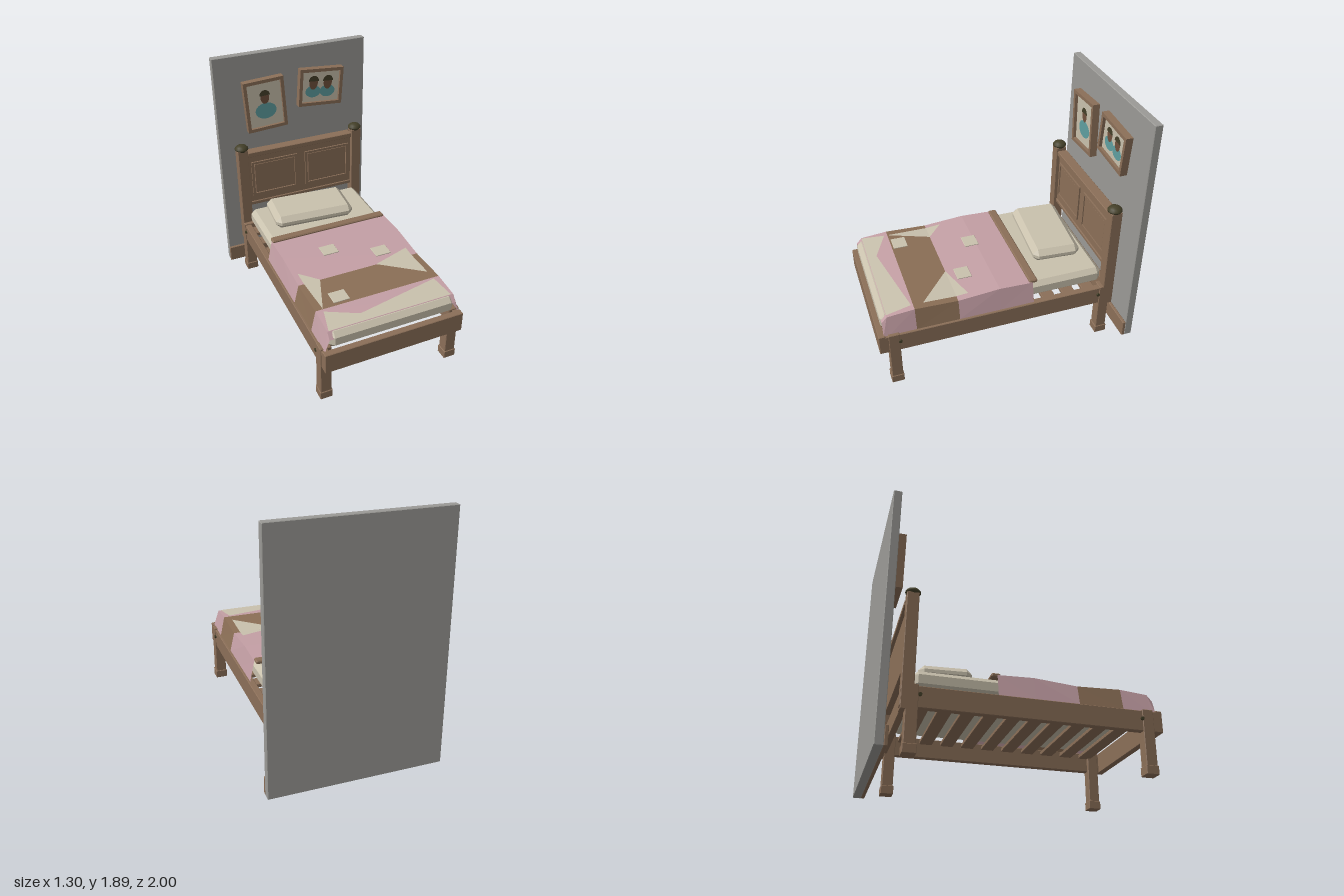
import * as THREE from 'three';
import { ConvexGeometry } from 'three/addons/geometries/ConvexGeometry.js';

const mat = (name, color, extra = {}) => {
  const m = new THREE.MeshStandardMaterial({ color, ...extra });
  m.name = name;
  return m;
};

export function createModel() {
  const wood = mat('wood', 0x8b6f58);
  const wall = mat('wall grey', 0x9b9a96);
  const cream = mat('cream linen', 0xc9c1ad, { side: THREE.DoubleSide });
  const pink = mat('pink cloth', 0xc49fa5, { side: THREE.DoubleSide });
  const brown = mat('brown cloth', 0x8b6f56, { side: THREE.DoubleSide });
  const teal = mat('teal', 0x5f9ea0);
  const skin = mat('skin brown', 0x70503c);
  const dark = mat('dark olive', 0x444029);

  const model = new THREE.Group();
  const add = (name, geo, material, x = 0, y = 0, z = 0, parent = model) => {
    const m = new THREE.Mesh(geo, material);
    m.name = name;
    m.position.set(x, y, z);
    parent.add(m);
    return m;
  };

  // Box with chamfered edges
  const chamfer = (w, h, d, b) => {
    const pts = [];
    for (const i of [-1, 1]) for (const j of [-1, 1]) for (const k of [-1, 1]) {
      const x = i * w / 2, y = j * h / 2, z = k * d / 2;
      pts.push(new THREE.Vector3(x, y - j * b, z - k * b),
        new THREE.Vector3(x - i * b, y, z - k * b),
        new THREE.Vector3(x - i * b, y - j * b, z));
    }
    return new ConvexGeometry(pts);
  };
  // Chamfered box given by its limits
  const block = (name, m, x0, x1, y0, y1, z0, z1, b = 0.004, parent = model) =>
    add(name, chamfer(x1 - x0, y1 - y0, z1 - z0, b), m, (x0 + x1) / 2, (y0 + y1) / 2, (z0 + z1) / 2, parent);

  // Wall and baseboard
  block('wall', wall, -0.65, 0.65, 0, 1.89, -1, -0.94);
  block('baseboard', wood, -0.65, 0.65, 0, 0.135, -0.94, -0.915);

  // Legs, posts, finials, side rails and bolts
  const dome = new THREE.LatheGeometry([[0, -0.025], [0.04, -0.022], [0.055, -0.005], [0.055, 0.004],
    [0.042, 0.02], [0.02, 0.029], [0, 0.031]].map(p => new THREE.Vector2(...p)), 16);
  const boltGeo = new THREE.CylinderGeometry(0.013, 0.013, 0.014, 12).rotateZ(Math.PI / 2);
  for (const s of [-1, 1]) {
    const x = s * 0.505;
    block('frontLeg', wood, x - 0.042, x + 0.042, 0.05, 0.47, 0.848, 0.93);
    block('frontFoot', wood, x - 0.047, x + 0.047, 0, 0.065, 0.842, 0.936);
    block('backLeg', wood, x - 0.042, x + 0.042, 0.05, 0.47, -0.812, -0.73);
    block('backFoot', wood, x - 0.047, x + 0.047, 0, 0.065, -0.818, -0.724);
    block('headPost', wood, x - 0.042, x + 0.042, 0.29, 1.15, -0.845, -0.76);
    add('finial', dome, dark, x, 1.162, -0.8);
    const r = s * 0.515;
    block('sideRail', wood, r - 0.025, r + 0.025, 0.31, 0.46, -0.85, 0.998);
    for (const z of [0.845, -0.72]) add('bolt', boltGeo, dark, s * 0.545, 0.4, z);
  }
  block('footRail', wood, -0.54, 0.54, 0.31, 0.47, 0.95, 1);
  block('headRail', wood, -0.465, 0.465, 0.31, 0.46, -0.835, -0.79);

  // Slats
  for (let i = 0; i < 10; i++) {
    const z = -0.66 + i * 0.165;
    block('slat', wood, -0.49, 0.49, 0.415, 0.445, z - 0.05, z + 0.05);
  }

  // Headboard with two framed panels
  block('headboard', wood, -0.465, 0.465, 0.62, 1.1, -0.825, -0.79);
  block('headboardCap', wood, -0.465, 0.465, 1.08, 1.12, -0.85, -0.768);
  block('headboardBase', wood, -0.465, 0.465, 0.62, 0.65, -0.83, -0.78);
  const rectFrame = (w, h, t, depth) => {
    const rect = (P, a, b) => new P([[-a, -b], [a, -b], [a, b], [-a, b]].map(p => new THREE.Vector2(...p)));
    const s = rect(THREE.Shape, w / 2, h / 2);
    s.holes.push(rect(THREE.Path, w / 2 - t, h / 2 - t));
    return new THREE.ExtrudeGeometry(s, { depth, bevelEnabled: false });
  };
  for (const s of [-1, 1]) {
    const x = s * 0.237;
    add('panelMoulding', rectFrame(0.4, 0.315, 0.02, 0.012), wood, x, 0.865, -0.79);
    block('raisedPanel', wood, x - 0.175, x + 0.175, 0.73, 1, -0.795, -0.782);
  }

  // Mattress and pillow
  block('mattress', cream, -0.485, 0.485, 0.47, 0.603, -0.762, 0.965, 0.035);
  const pillow = add('pillow', chamfer(0.655, 0.105, 0.375, 0.04), cream, -0.045, 0.657, -0.5);
  pillow.rotation.y = -0.075;

  // Blanket: strips following a height profile along the bed
  const profile = [[-0.19, 0.625], [0.07, 0.635], [0.39, 0.61], [0.715, 0.623], [0.92, 0.606], [0.96, 0.56]];
  const height = z => {
    const i = Math.max(1, profile.findIndex(p => p[0] >= z));
    const [a, b] = [profile[i - 1], profile[i]];
    return a[1] + (b[1] - a[1]) * (z - a[0]) / (b[0] - a[0]);
  };
  const polygons = list => {
    const v = [];
    for (const p of list) for (let i = 1; i < p.length - 1; i++) v.push(...p[0], ...p[i], ...p[i + 1]);
    const g = new THREE.BufferGeometry();
    g.setAttribute('position', new THREE.Float32BufferAttribute(v, 3));
    g.computeVertexNormals();
    return g;
  };
  for (let i = 0; i < profile.length - 1; i++) {
    const [[z0, h0], [z1, h1]] = [profile[i], profile[i + 1]];
    const w = 0.49, o = 0.525, f = 0.462;
    add('blanketStrip', polygons([
      [[-w, h0, z0], [-w, h1, z1], [w, h1, z1], [w, h0, z0]],
      [[w, h0, z0], [w, h1, z1], [o, f, z1], [o, f, z0]],
      [[-w, h0, z0], [-o, f, z0], [-o, f, z1], [-w, h1, z1]],
    ]), i === 2 ? brown : pink);
  }

  // Cream and pink areas lying on the blanket, split at its creases
  const overlay = (name, m, lift, list) => add(name, polygons(
    list.map(p => p.map(([x, z]) => [x, height(z) + lift, z]))), m);
  overlay('leftCreamPatch', cream, 0.003, [
    [[-0.45, 0.27], [-0.447, 0.39], [-0.32, 0.39]],
    [[-0.447, 0.39], [-0.435, 0.715], [-0.32, 0.39]]]);
  overlay('rightCreamPatch', cream, 0.003, [
    [[0.44, 0.3], [0.14, 0.39], [0.44, 0.39]],
    [[0.14, 0.39], [0.44, 0.64], [0.44, 0.39]]]);
  overlay('footCreamPatch', cream, 0.003, [
    [[-0.44, 0.74], [-0.48, 0.92], [-0.21, 0.92], [-0.21, 0.85]],
    [[-0.21, 0.85], [-0.21, 0.92], [0.47, 0.92], [0.44, 0.73]]]);

  // Rolled fold and sewn squares
  block('blanketFold', wood, -0.485, 0.485, 0.612, 0.642, -0.23, -0.165, 0.008);
  for (const [x, z] of [[-0.13, 0.11], [0.23, 0.28], [-0.285, 0.65]])
    block('sewnSquare', cream, x - 0.062, x + 0.062, 0.637, 0.645, z - 0.056, z + 0.056, 0.002);

  // Framed portraits
  const oval = (rx, ry, half) => new THREE.CircleGeometry(1, 28, 0, half ? Math.PI : Math.PI * 2).scale(rx, ry, 1);
  const picture = (x, y, w, h, tilt, people) => {
    const g = new THREE.Group();
    g.name = 'picture';
    g.position.set(x, y, -0.92);
    g.rotation.z = tilt;
    model.add(g);
    add('pictureFrame', rectFrame(w, h, 0.027, 0.057), wood, 0, 0, 0, g);
    add('canvas', new THREE.BoxGeometry(w - 0.04, h - 0.04, 0.03), cream, 0, 0, 0.018, g);
    people.forEach(([px, py, k, gap], i) => {
      const z = 0.036 + i * 0.001;
      add('body', oval(0.09 * k, 0.069 * k), teal, px, py, z, g);
      add('face', oval(0.037, 0.056), skin, px, py + gap, z + 0.003, g);
      add('hair', oval(0.045, 0.047, true), dark, px, py + gap + 0.017, z + 0.006, g);
    });
  };
  picture(-0.255, 1.473, 0.34, 0.435, 0.055, [[0.002, -0.058, 1, 0.118]]);
  picture(0.23, 1.547, 0.382, 0.318, -0.078, [[-0.063, -0.042, 0.75, 0.073], [0.063, -0.044, 0.75, 0.073]]);

  return model;
}
